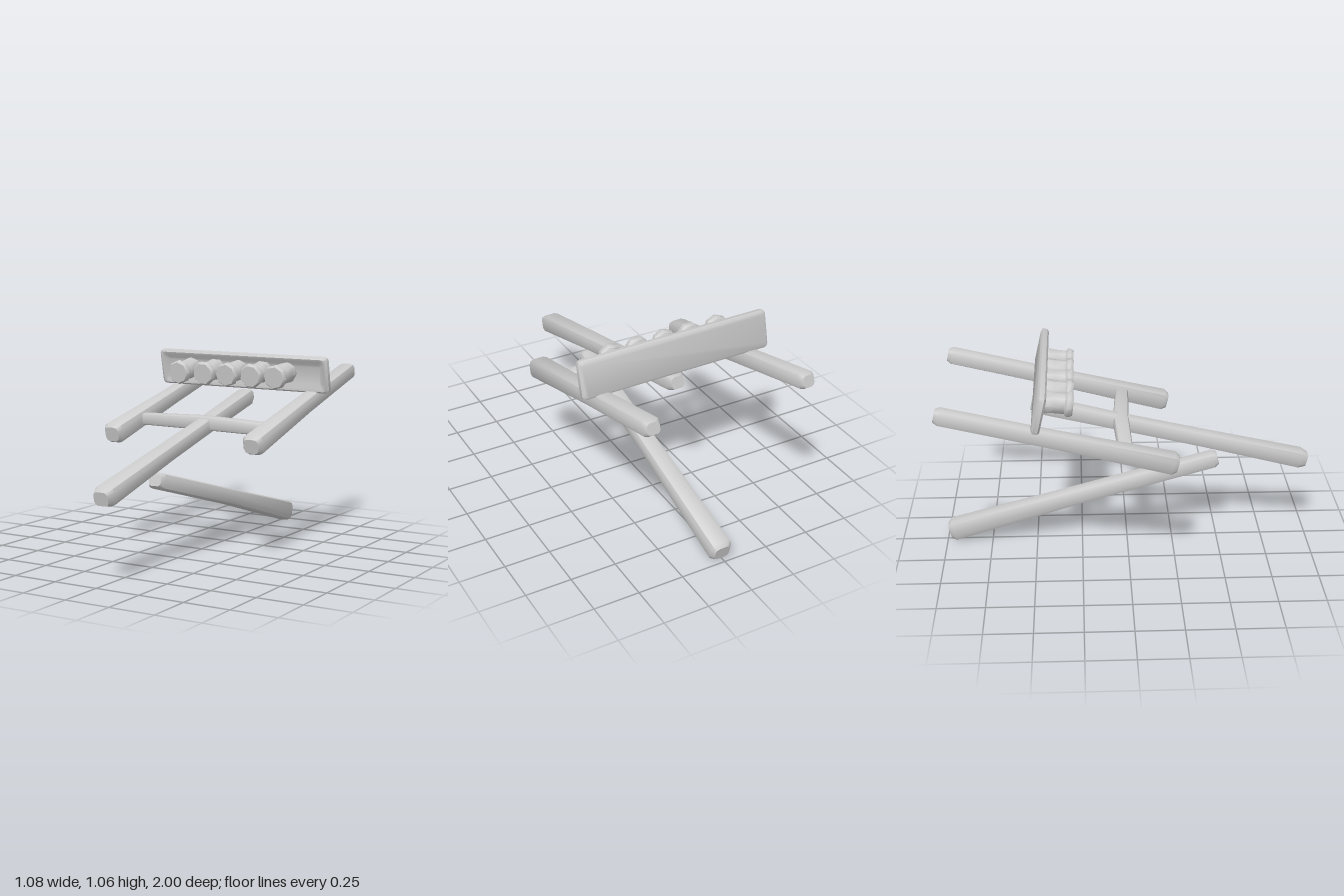
import * as THREE from 'three';
import { toCreasedNormals } from 'three/addons/utils/BufferGeometryUtils.js';

const material = new THREE.MeshStandardMaterial({ color: 0xcccccc });

// Rounded rectangle outline, 3 points per corner, counter-clockwise
function outline(w, h, roundness) {
  const r = Math.min(w, h) * roundness, pts = [];
  [[1, 1], [-1, 1], [-1, -1], [1, -1]].forEach(([sx, sy], k) => {
    for (let i = 0; i < 3; i++) {
      const a = (k + i / 2) * Math.PI / 2;
      pts.push([sx * (w / 2 - r) + r * Math.cos(a), sy * (h / 2 - r) + r * Math.sin(a)]);
    }
  });
  return pts;
}

// Skin over sections [x, y, z, width, height] lying across a straight axis, closed at both ends
function loft(sections, roundness, crease) {
  const first = new THREE.Vector3(...sections[0]);
  const d = new THREE.Vector3(...sections.at(-1)).sub(first).normalize();
  const side = new THREE.Vector3(0, 1, 0).cross(d).normalize();
  const up = d.clone().cross(side);
  const pos = [], index = [], n = 12;
  for (const [x, y, z, w, h] of sections) {
    for (const [u, v] of outline(w, h, roundness)) {
      const p = new THREE.Vector3(x, y, z).addScaledVector(side, u).addScaledVector(up, v);
      pos.push(p.x, p.y, p.z);
    }
  }
  const last = (sections.length - 1) * n;
  for (let s = 0; s < last; s += n) {
    for (let i = 0; i < n; i++) {
      const j = (i + 1) % n;
      index.push(s + i, s + j, s + n + j, s + i, s + n + j, s + n + i);
    }
  }
  for (let i = 1; i < n - 1; i++) {
    index.push(0, i + 1, i, last, last + i, last + i + 1);
  }
  const geo = new THREE.BufferGeometry();
  geo.setAttribute('position', new THREE.Float32BufferAttribute(pos, 3));
  geo.setIndex(index);
  return toCreasedNormals(geo, crease);
}

// Hewn bar: the given sections with a bevelled tip added at each end
function bar(sections, bevel = 0.025) {
  const a = sections[0], b = sections.at(-1);
  const start = new THREE.Vector3(...a), end = new THREE.Vector3(...b);
  const d = end.clone().sub(start).normalize().multiplyScalar(bevel);
  const inA = start.clone().add(d), inB = end.clone().sub(d);
  return loft([
    [...start, a[3] * 0.72, a[4] * 0.72], [...inA, a[3], a[4]],
    ...sections.slice(1, -1),
    [...inB, b[3], b[4]], [...end, b[3] * 0.72, b[4] * 0.72],
  ], 0.28, 0.75);
}

export function createModel() {
  const model = new THREE.Group();
  model.name = 'frame';
  const add = (name, geometry, parent = model) => {
    const mesh = new THREE.Mesh(geometry, material);
    mesh.name = name;
    parent.add(mesh);
    return mesh;
  };

  // Two sloping side rails
  add('rightRail', bar([
    [-0.45, 0.952, -0.985, 0.09, 0.085], [-0.437, 0.80, -0.37, 0.09, 0.09], [-0.425, 0.65, 0.245, 0.115, 0.11]]));
  add('leftRail', bar([
    [0.418, 0.952, -0.985, 0.095, 0.085], [0.428, 0.80, -0.37, 0.095, 0.09], [0.44, 0.647, 0.245, 0.115, 0.105]]));

  // Long middle pole and the leg below it
  add('centrePole', bar([
    [0.005, 0.822, -0.51, 0.1, 0.09], [0.01, 0.70, -0.02, 0.09, 0.085],
    [0.016, 0.60, 0.4, 0.1, 0.085], [0.027, 0.455, 0.99, 0.115, 0.1]], 0.04));
  add('lowerLeg', bar([
    [0.008, 0.062, -0.985, 0.12, 0.115], [0.014, 0.27, -0.25, 0.1, 0.09], [0.02, 0.475, 0.5, 0.1, 0.085]]));

  // Crossbar tying the rails together
  add('crossbar', bar([
    [-0.41, 0.712, -0.022, 0.075, 0.065], [0, 0.713, -0.033, 0.085, 0.077], [0.41, 0.705, -0.015, 0.075, 0.07]]));

  // Leaning plank with a dished front
  const plank = add('plank', loft([
    [0, 0, -0.022, 1.05, 0.18], [0, 0, -0.012, 1.08, 0.205], [0, 0, 0.012, 1.08, 0.205],
    [0, 0, 0.022, 1.055, 0.185], [0, 0, 0.02, 1.03, 0.16], [0, 0, 0.005, 0.98, 0.11]], 0.1, 0.75));
  plank.position.set(-0.002, 0.966, -0.461);
  plank.rotation.set(0.22, 0, -0.009);

  // Row of short round pegs with a flared rim
  const profile = [[0, 0], [0.058, 0], [0.061, 0.03], [0.056, 0.07], [0.056, 0.125],
    [0.069, 0.135], [0.069, 0.155], [0.06, 0.168], [0, 0.168]].map(p => new THREE.Vector2(...p));
  const pegGeometry = toCreasedNormals(new THREE.LatheGeometry(profile, 8), 0.8);
  const pegs = new THREE.Group();
  pegs.name = 'pegs';
  model.add(pegs);
  [-0.335, -0.17, -0.021, 0.136, 0.286].forEach((x, i) => {
    const peg = add('peg', pegGeometry, pegs);
    peg.position.set(x, 0.97, -0.455);
    peg.rotation.set(Math.PI / 2 + 0.12, i * 0.35, 0);
  });
  return model;
}
